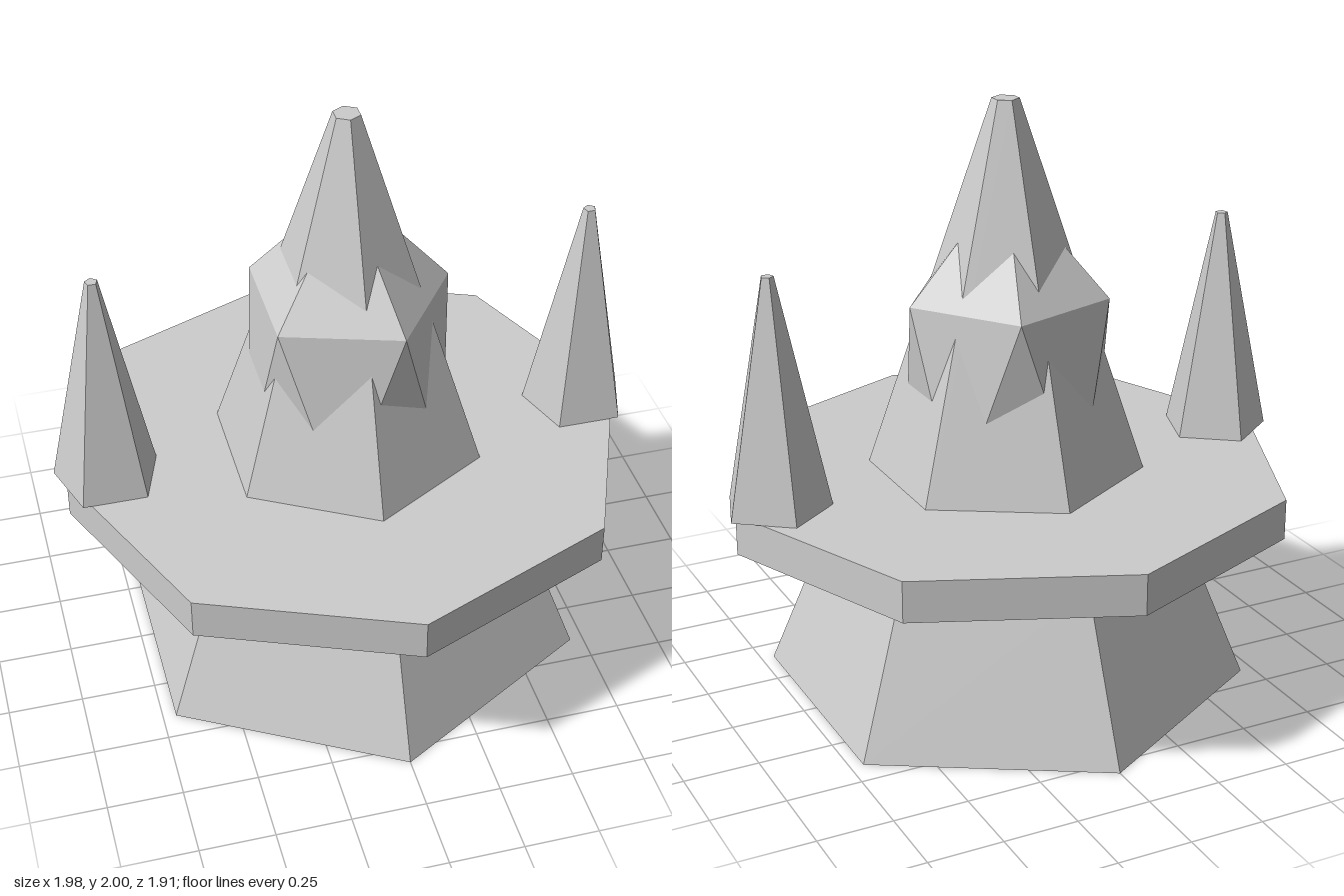
import * as THREE from 'three';

export function createModel() {
  const group = new THREE.Group();
  const stone = new THREE.MeshStandardMaterial({ color: 0xcccccc, flatShading: true });
  stone.name = 'paleStone';

  const add = (name, geometry, x = 0, y = 0) => {
    const mesh = new THREE.Mesh(geometry, stone);
    mesh.name = name;
    mesh.position.set(x, y, 0);
    group.add(mesh);
    return mesh;
  };

  // Tapered prism standing between two heights
  const frustum = (name, y0, y1, r0, r1, sides, x = 0) =>
    add(name, new THREE.CylinderGeometry(r1, r0, y1 - y0, sides), x, (y0 + y1) / 2);

  // Hexagonal foot, central spire and octagonal platform
  frustum('base', 0, 0.545, 0.815, 0.593, 6);
  frustum('centralSpire', 0.5, 2, 0.545, 0.045, 6);
  frustum('platform', 0.617, 0.754, 0.954, 0.954, 8);

  // Stretched icosahedron with a corner up, breaking through the spire
  const crystal = new THREE.IcosahedronGeometry(1, 0);
  crystal.rotateX(-Math.atan((1 + Math.sqrt(5)) / 2));
  crystal.rotateY(Math.PI / 2);
  crystal.scale(0.381, 0.695, 0.381);
  add('crystal', crystal, 0, 1.044);

  // Pentagonal side spires, one corner pointing back
  for (const [side, name] of [[1, 'leftSpire'], [-1, 'rightSpire']]) {
    frustum(name, 0.754, 1.526, 0.181, 0.021, 5, side * 0.816).rotation.y = Math.PI;
  }

  return group;
}
